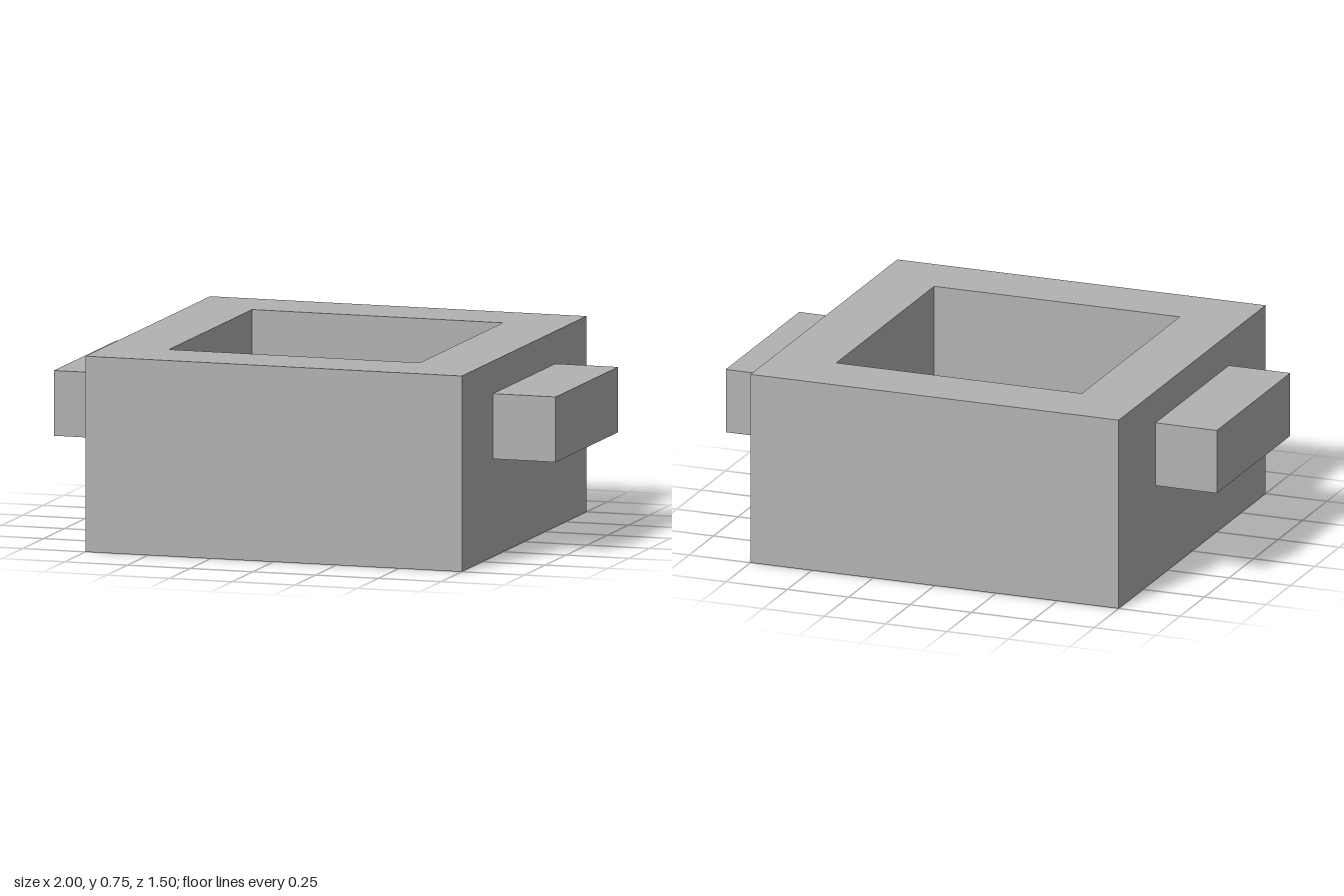
import * as THREE from 'three';

export function createModel() {
  const group = new THREE.Group();
  const grey = new THREE.MeshStandardMaterial({ color: 0xb2b2b2 });
  grey.name = 'grey';

  const add = (name, geometry, x = 0, y = 0, z = 0) => {
    const mesh = new THREE.Mesh(geometry, grey);
    mesh.name = name;
    mesh.position.set(x, y, z);
    group.add(mesh);
  };

  // Square outline, reversed for a hole
  const square = (r) => [[-r, -r], [r, -r], [r, r], [-r, r]].map(([x, y]) => new THREE.Vector2(x, y));

  // Thick walls around a square well, extruded upwards
  const outline = new THREE.Shape(square(0.75));
  outline.holes.push(new THREE.Path(square(0.5).reverse()));
  const walls = new THREE.ExtrudeGeometry(outline, { depth: 0.75, bevelEnabled: false });
  walls.rotateX(-Math.PI / 2);
  add('walls', walls);

  // Floor closing the well
  add('floor', new THREE.BoxGeometry(1, 0.25, 1), 0, 0.125, 0);

  // Block handles on both sides
  for (const side of [1, -1]) {
    add(side > 0 ? 'leftHandle' : 'rightHandle', new THREE.BoxGeometry(0.25, 0.25, 0.75), side * 0.875, 0.5, 0);
  }

  return group;
}
